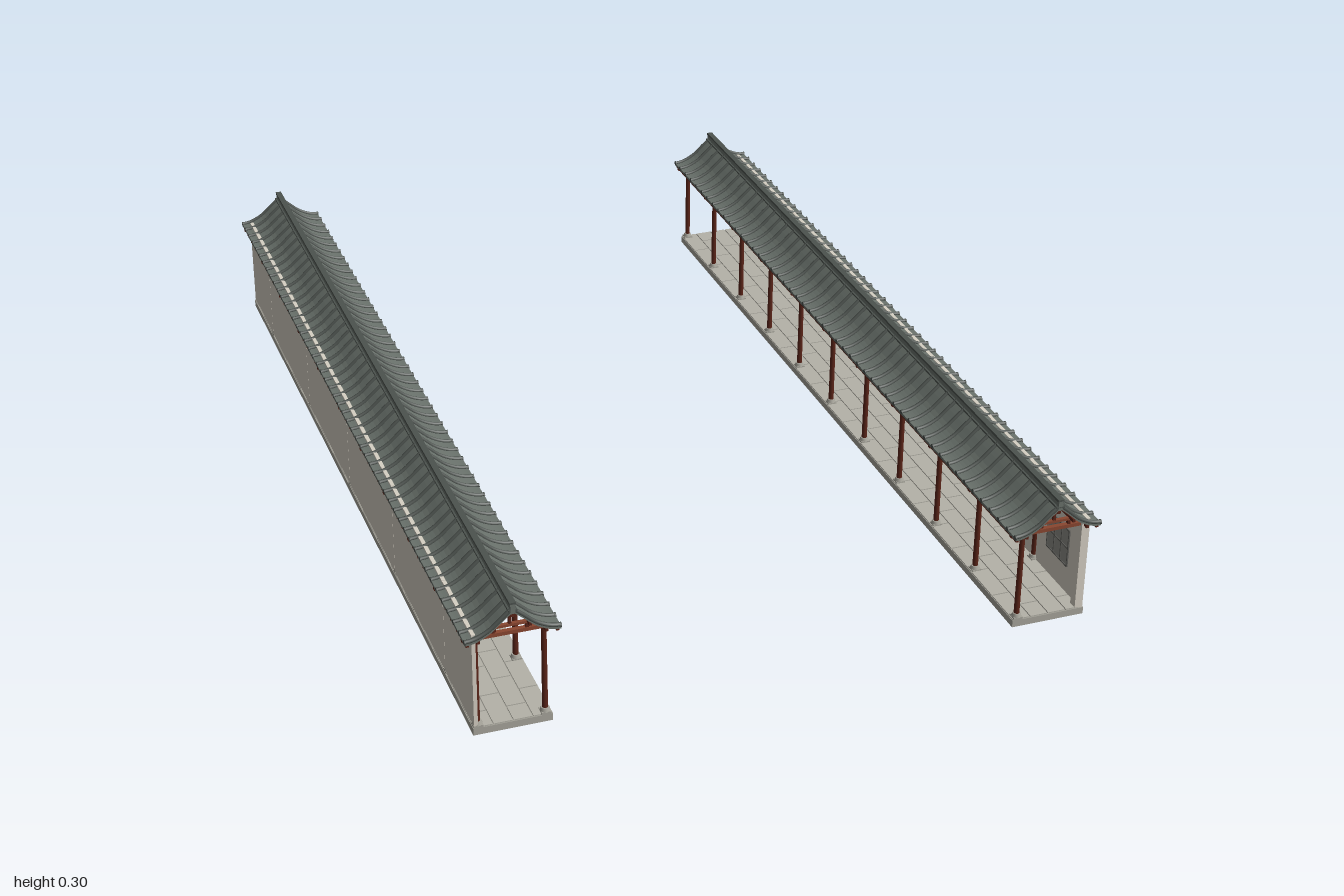
import * as THREE from 'three';
import { mergeGeometries } from 'three/addons/utils/BufferGeometryUtils.js';

const mat = (color, side = THREE.FrontSide) => new THREE.MeshStandardMaterial({ color, side });
const M = {
  tile: mat(0x6a726c), rib: mat(0x4c524e), wood: mat(0x5a2418), beam: mat(0x8a4630),
  wall: mat(0xd6d0c4), stone: mat(0xa8a69c), paver: mat(0xb4b2a8), panel: mat(0x8c8c86),
  lattice: mat(0x5e5e5a),
};
const BAY = 0.195, BAYS = 10, END = BAY * BAYS / 2; // column grid along z
const COL = 0.068; // column line offset from the ridge
const FLOOR = 0.018;

// box geometry given by its min and max corners
const box = (x0, x1, y0, y1, z0, z1) =>
  new THREE.BoxGeometry(x1 - x0, y1 - y0, z1 - z0)
    .translate((x0 + x1) / 2, (y0 + y1) / 2, (z0 + z1) / 2);
const cyl = (r0, r1, x, y0, y1, z, n = 12) =>
  new THREE.CylinderGeometry(r1, r0, y1 - y0, n).translate(x, (y0 + y1) / 2, z);

// concave roof slope, from ridge to eave
const slope = [[0, 0.281], [0.02, 0.264], [0.045, 0.242], [0.07, 0.229], [0.086, 0.225], [0.096, 0.2245]];
const slopeCurve = (s, dy, z) => new THREE.CatmullRomCurve3(
  slope.map(([x, y]) => new THREE.Vector3(s * x, y + dy, z)));

// cross-section band that follows both slopes between two heights below the curve
function roofBand(top, bottom, depth, z) {
  const half = slopeCurve(1, 0, 0).getPoints(14);
  const line = [...half.slice(1).reverse().map(p => [-p.x, p.y]), ...half.map(p => [p.x, p.y])];
  const pts = [...line.map(([x, y]) => new THREE.Vector2(x, y - top)),
    ...line.reverse().map(([x, y]) => new THREE.Vector2(x, y - bottom))];
  return new THREE.ExtrudeGeometry(new THREE.Shape(pts), { depth, bevelEnabled: false })
    .translate(0, 0, z - depth / 2);
}

// covered gallery with its wall on the +x side
function corridor() {
  const g = new THREE.Group();
  const add = (name, material, geos) => {
    const m = new THREE.Mesh(mergeGeometries(geos.map(a => a.index ? a.toNonIndexed() : a)), material);
    m.name = name;
    g.add(m);
  };
  const frames = Array.from({ length: BAYS + 1 }, (_, i) => -END + i * BAY);

  // platform with staggered paving
  add('platform', M.stone, [box(-0.081, 0.081, 0, 0.0155, -0.985, 0.985)]);
  const pavers = [], rows = 4, w = 0.162 / rows, len = 0.0985;
  for (let r = 0; r < rows; r++) {
    const x = -0.081 + r * w, shift = (r % 2) * len / 2;
    for (let z = -0.985 - shift; z < 0.98; z += len) {
      const a = Math.max(z, -0.985), b = Math.min(z + len, 0.985);
      if (b - a > 0.01) pavers.push(box(x + 0.0012, x + w - 0.0012, 0.0145, FLOOR, a + 0.0015, b - 0.0015));
    }
  }
  add('paving', M.paver, pavers);

  // columns on stone footings; the wall line has one at every other frame
  const columns = [], footings = [];
  const column = (x, z) => {
    columns.push(cyl(0.006, 0.0055, x, FLOOR, 0.222, z));
    footings.push(box(x - 0.01, x + 0.01, 0.015, 0.021, z - 0.01, z + 0.01),
      cyl(0.011, 0.0085, x, 0.02, 0.028, z));
  };
  frames.forEach((z, i) => {
    column(-COL, z);
    if (i % 2 || i === 0) column(COL + 0.002, z);
  });
  add('columns', M.wood, columns);
  add('columnFootings', M.stone, footings);

  // outer wall in panels, closed by a pilaster at one end
  const seams = [-0.985, ...frames.filter((_, i) => i % 2), 0.985], wall = [];
  for (let i = 0; i + 1 < seams.length; i++)
    wall.push(box(0.071, 0.079, 0.012, 0.2305, seams[i] + 0.0006, seams[i + 1] - 0.0006));
  wall.push(box(0.061, 0.072, FLOOR, 0.222, 0.965, 0.985));
  add('wall', M.wall, wall);

  // latticed panels on the inner wall face
  const panels = [], bars = [];
  for (let i = 0; i < BAYS; i++) {
    const z = frames[i] + BAY / 2, h = 0.045;
    panels.push(box(0.0695, 0.072, 0.08, 0.165, z - h, z + h));
    for (const k of [-1, -0.33, 0.33, 1])
      bars.push(box(0.068, 0.071, 0.079, 0.166, z + k * h - 0.0015, z + k * h + 0.0015));
    for (const y of [0.08, 0.1225, 0.165])
      bars.push(box(0.068, 0.071, y - 0.0015, y + 0.0015, z - h, z + h));
  }
  add('windowPanels', M.panel, panels);
  add('windowLattice', M.lattice, bars);

  // cross frames: two tiers of beams with struts and rafters
  const beams = [], struts = [];
  for (const z of frames) {
    beams.push(box(-0.08, 0.08, 0.214, 0.222, z - 0.005, z + 0.005),
      box(-0.04, 0.04, 0.231, 0.2365, z - 0.004, z + 0.004));
    for (const x of [-0.034, 0.034]) struts.push(box(x - 0.003, x + 0.003, 0.22, 0.232, z - 0.004, z + 0.004));
    struts.push(box(-0.003, 0.003, 0.235, 0.27, z - 0.003, z + 0.003), roofBand(0.006, 0.011, 0.008, z));
  }
  add('crossBeams', M.beam, beams);
  add('struts', M.wood, struts);

  // purlins and eave boards run the whole length
  const purlins = [box(-0.004, 0.004, 0.262, 0.27, -0.995, 0.995)];
  for (const s of [-1, 1]) for (const [x, y] of [[0.036, 0.239], [COL, 0.219], [0.09, 0.2165]])
    purlins.push(box(s * x - 0.003, s * x + 0.003, y - 0.004, y + 0.003, -0.995, 0.995));
  add('purlins', M.wood, purlins);

  // triangular corner brackets beside the open columns
  const brackets = [];
  const tri = new THREE.Shape([[0, 0], [0.032, 0], [0.012, -0.008], [0, -0.02]]
    .map(p => new THREE.Vector2(...p)).reverse());
  frames.forEach((z, i) => {
    for (const s of [-1, 1]) {
      if ((i === 0 && s < 0) || (i === BAYS && s > 0)) continue;
      brackets.push(new THREE.ExtrudeGeometry(tri, { depth: 0.003, bevelEnabled: false })
        .translate(0.004, 0.216, -0.0015).rotateY(-s * Math.PI / 2).translate(-COL, 0, z));
    }
  });
  add('brackets', M.wood, brackets);

  // rafters between the cross frames
  const rafters = [];
  for (let i = 0; i < 50; i++) rafters.push(roofBand(0.005, 0.008, 0.004, -0.98 + i * 0.04));
  add('rafters', M.wood, rafters);

  // tiled roof: curved sheet, rounded ribs with end discs, ridge
  add('roofSheet', M.tile, [roofBand(0, 0.006, 1.998, 0)]);
  const ribs = [];
  for (let i = 0; i <= 50; i++) {
    const z = Math.min(Math.max(-1 + i * 0.04, -0.9955), 0.9955);
    for (const s of [-1, 1]) {
      ribs.push(new THREE.TubeGeometry(slopeCurve(s, 0.001, z), 12, 0.0045, 8),
        new THREE.CylinderGeometry(0.0055, 0.0055, 0.003, 10).rotateZ(Math.PI / 2)
          .translate(s * 0.0955, 0.225, z));
    }
  }
  add('roofRibs', M.rib, ribs);
  add('ridge', M.tile, [box(-0.005, 0.005, 0.272, 0.293, -1, 1)]);
  add('ridgeCap', M.rib, [box(-0.0065, 0.0065, 0.292, 0.297, -1, 1), box(-0.009, 0.009, 0.277, 0.281, -1, 1)]);
  return g;
}

export function createModel() {
  const model = new THREE.Group();
  model.name = 'coveredCorridors';
  const left = corridor();
  left.name = 'leftCorridor';
  left.position.x = 0.577;
  // the other corridor is the same one turned half round
  const right = corridor();
  right.name = 'rightCorridor';
  right.rotation.y = Math.PI;
  right.position.x = -0.577;
  model.add(left, right);
  return model;
}
